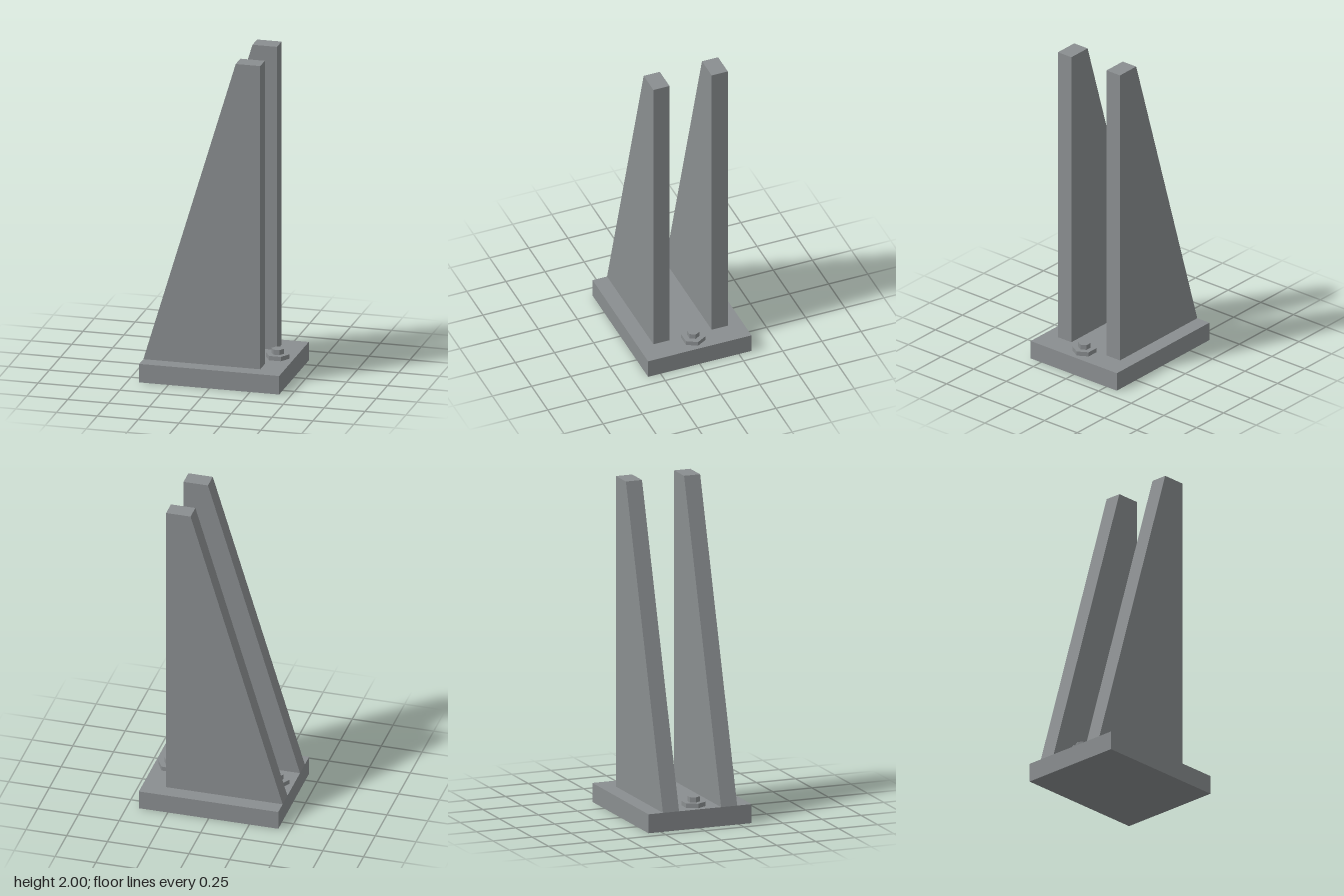
import * as THREE from 'three';

export function createModel() {
  const group = new THREE.Group();
  const steel = new THREE.MeshStandardMaterial({ color: 0x8a8e90, flatShading: true });
  steel.name = 'steel grey';

  const add = (name, geometry, x, y, z, parent = group) => {
    const mesh = new THREE.Mesh(geometry, steel);
    mesh.name = name;
    mesh.position.set(x, y, z);
    parent.add(mesh);
  };

  // Base plate
  const baseTop = 0.115;
  add('basePlate', new THREE.BoxGeometry(0.856, baseTop, 0.66), 0, baseTop / 2, 0);

  // Two upright tapered gussets, vertical on the +x edge
  const thickness = 0.103;
  const profile = new THREE.Shape([
    new THREE.Vector2(-0.428, baseTop),
    new THREE.Vector2(0.287, baseTop),
    new THREE.Vector2(0.287, 2),
    new THREE.Vector2(0.137, 2),
  ]);
  const gusset = new THREE.ExtrudeGeometry(profile, { depth: thickness, bevelEnabled: false });
  gusset.translate(0, 0, -thickness / 2);
  add('frontGusset', gusset, 0, 0, 0.186);
  add('backGusset', gusset, 0, 0, -0.186);

  // Hexagonal nut with a smaller hexagonal stud end, corners along x
  const hex = (radius, height) =>
    new THREE.CylinderGeometry(radius, radius, height, 6, 1, false, Math.PI / 2);
  for (const [side, x] of [['left', 0.329], ['right', -0.329]]) {
    const anchor = new THREE.Group();
    anchor.name = side + 'Anchor';
    anchor.position.set(x, baseTop, 0);
    add('nut', hex(0.072, 0.027), 0, 0.0135, 0, anchor);
    add('stud', hex(0.037, 0.058), 0, 0.029, 0, anchor);
    group.add(anchor);
  }

  return group;
}
